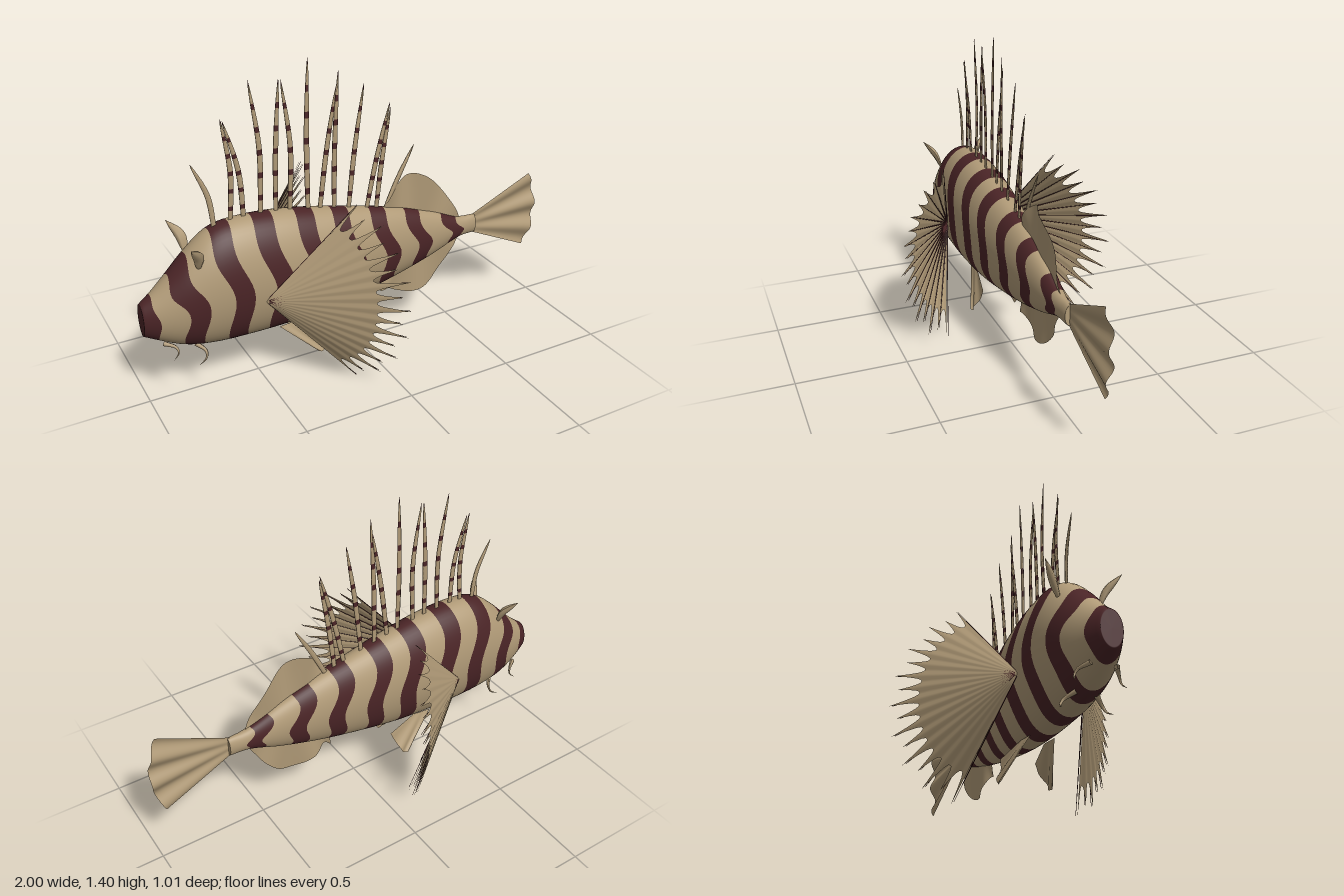
import * as THREE from 'three';
import { mergeVertices } from 'three/addons/utils/BufferGeometryUtils.js';

const V = (x, y, z = 0) => new THREE.Vector3(x, y, z);
const tan = new THREE.MeshStandardMaterial({ color: 0xb09a77, side: THREE.DoubleSide });
tan.name = 'sandy tan';
const maroon = new THREE.MeshStandardMaterial({ color: 0x4a2426, side: THREE.DoubleSide });
maroon.name = 'dark maroon';

// Surface of nu x nv cells; fn(i, j) gives each point
function grid(nu, nv, fn) {
  const pos = [], index = [];
  for (let i = 0; i <= nu; i++) for (let j = 0; j <= nv; j++) pos.push(...fn(i, j).toArray());
  for (let i = 0; i < nu; i++) for (let j = 0; j < nv; j++) {
    const a = i * (nv + 1) + j, b = a + nv + 1;
    index.push(a, a + 1, b, b, a + 1, b + 1);
  }
  let g = new THREE.BufferGeometry();
  g.setAttribute('position', new THREE.Float32BufferAttribute(pos, 3));
  g.setIndex(index);
  g = mergeVertices(g, 1e-5);
  g.computeVertexNormals();
  return g;
}

// Smooth interpolation through the body stations
const stations = [ // x, top, bottom, half width
  [-1, 0.48, 0.33, 0.045], [-0.94, 0.525, 0.298, 0.073], [-0.87, 0.59, 0.262, 0.1],
  [-0.8, 0.66, 0.237, 0.12], [-0.7, 0.742, 0.22, 0.138], [-0.6, 0.77, 0.214, 0.145],
  [-0.4, 0.766, 0.213, 0.145], [-0.2, 0.735, 0.226, 0.132], [0, 0.692, 0.257, 0.11],
  [0.2, 0.643, 0.298, 0.085], [0.4, 0.575, 0.355, 0.056], [0.55, 0.515, 0.41, 0.033],
  [0.64, 0.508, 0.415, 0.022],
];
function section(x, c) {
  const n = stations.length;
  let i = 0;
  while (i < n - 2 && x > stations[i + 1][0]) i++;
  const slope = k => {
    const a = stations[Math.max(k - 1, 0)], b = stations[Math.min(k + 1, n - 1)];
    return (b[c] - a[c]) / (b[0] - a[0]);
  };
  const p = stations[i], q = stations[i + 1], h = q[0] - p[0], t = (x - p[0]) / h;
  return p[c] * (1 + 2 * t) * (1 - t) ** 2 + slope(i) * h * t * (1 - t) ** 2
    + q[c] * t * t * (3 - 2 * t) + slope(i + 1) * h * t * t * (t - 1);
}

// Tapered curved spike with optional dark bands; flat squeezes it in z
function spike(points, radius, { flat = 1, banded = false, n = 24, k = 6 } = {}) {
  const curve = new THREE.CatmullRomCurve3(points);
  const g = new THREE.TubeGeometry(curve, n, 1, k, false);
  const p = g.attributes.position;
  for (let i = 0; i <= n; i++) {
    const c = curve.getPointAt(i / n), r = radius(i / n);
    for (let j = 0; j <= k; j++) {
      const id = i * (k + 1) + j;
      p.setXYZ(id, c.x + (p.getX(id) - c.x) * r, c.y + (p.getY(id) - c.y) * r, c.z + (p.getZ(id) - c.z) * r * flat);
    }
  }
  g.computeVertexNormals();
  for (let i = 0; i < n; i++) g.addGroup(i * k * 6, k * 6, banded && i % 4 === 3 ? 1 : 0);
  return new THREE.Mesh(g, [tan, maroon]);
}

function createBody() {
  // Rows follow the stripe edges, so every band is a clean run of cells
  const edges = [-1, -0.955, -0.875, -0.795, -0.69, -0.605, -0.505, -0.415, -0.31, -0.225,
    -0.135, -0.055, 0.055, 0.135, 0.24, 0.32, 0.445, 0.53, 0.64];
  const rows = [[-1, 0, 1], [-1, 0.93, 1]], sub = 4, nv = 56;
  for (let e = 0; e < edges.length - 1; e++)
    for (let s = 0; s < sub; s++)
      rows.push([edges[e] + (edges[e + 1] - edges[e]) * s / sub, 1, e % 2 ? 0 : 1]);
  rows.push([0.64, 1, 0], [0.64, 0.9, 0], [0.64, 0, 0]);
  const g = grid(rows.length - 1, nv, (i, j) => {
    const [u, k] = rows[i], a = (j % nv) / nv * Math.PI * 2, s = (1 - Math.cos(a)) / 2;
    const damp = Math.min(1, (u + 1) / 0.13, (0.64 - u) / 0.16);
    const x = u + damp * (0.06 * s - 0.021 * Math.sin(s * 9));
    const top = section(x, 1), bottom = section(x, 2);
    return V(x, (top + bottom) / 2 + k * (top - bottom) / 2 * Math.cos(a), k * section(x, 3) * Math.sin(a));
  });
  rows.slice(0, -1).forEach((r, i) => g.addGroup(i * nv * 6, nv * 6, r[2]));
  return new THREE.Mesh(g, [tan, maroon]);
}

// Rippled lobe between a straight base and a curved rim
function lobe(base, rim, waves) {
  const curve = new THREE.SplineCurve(rim.map(p => new THREE.Vector2(...p)));
  return new THREE.Mesh(grid(40, 6, (i, j) => {
    const t = i / 40, r = j / 6, o = curve.getPoint(t);
    const bx = base[0][0] + (base[1][0] - base[0][0]) * t, by = base[0][1] + (base[1][1] - base[0][1]) * t;
    return V(bx + (o.x - bx) * r, by + (o.y - by) * r, 0.014 * r * Math.sin(t * waves) * (1 - t * 0.5));
  }), tan);
}

// Fan fin with scalloped membrane and dark rays on its rear face
function createPectoral(side) {
  const fin = new THREE.Group(), rays = 17, cells = 8, nu = (rays - 1) * cells;
  const point = (t, r) => V(
    -0.505 + r * (0.5 - 0.13 * t * t),
    0.425 + r * 0.425 * Math.sin(t * 1.2) / Math.sin(1.2),
    side * (0.14 + r * (0.36 - 0.235 * t * t)));
  const membrane = new THREE.Mesh(grid(nu, 8, (i, j) => {
    const w = Math.abs((i % cells) / cells * 2 - 1);
    const odd = Math.round(i / cells) % 2;
    const r = j / 8 * (0.76 + (odd ? 0.18 : 0.24) * w ** 2.6);
    const p = point(i / nu * 2 - 1, r);
    p.z += side * 0.006 * w * r;
    return p;
  }), tan);
  membrane.name = 'pectoralMembrane';
  fin.add(membrane);
  for (let i = 0; i < rays; i++) {
    const t = i / (rays - 1) * 2 - 1, back = V(0.003, 0, -side * 0.001);
    const pts = [0.02, 0.5, i % 2 ? 0.92 : 0.98].map(r => point(t, r).add(back));
    const ray = spike(pts, s => 0.0035 * (1 - 0.7 * s), { n: 6, k: 4 });
    ray.material = maroon;
    ray.name = 'pectoralRay';
    fin.add(ray);
  }
  return fin;
}

export function createModel() {
  const model = new THREE.Group();
  const add = (mesh, name) => { mesh.name = name; model.add(mesh); };
  add(createBody(), 'body');

  // Dorsal spines: base x, base y, tip x, tip y
  const spines = [[-0.66, 0.74, -0.74, 1.04], [-0.59, 0.75, -0.607, 1.21], [-0.53, 0.75, -0.6, 1.2],
    [-0.455, 0.75, -0.48, 1.345], [-0.385, 0.75, -0.352, 1.335], [-0.32, 0.74, -0.345, 1.33],
    [-0.235, 0.72, -0.219, 1.4], [-0.18, 0.71, -0.092, 1.27], [-0.11, 0.7, -0.087, 1.33],
    [-0.04, 0.68, 0.04, 1.25], [0.05, 0.66, 0.165, 1.15], [0.1, 0.65, 0.165, 1.13], [0.14, 0.63, 0.295, 0.93]];
  spines.forEach(([x, y, tx, ty], i) => {
    const z = 0.006 * (i % 3 - 1), bow = tx < x ? 0.022 : -0.006;
    add(spike([V(x, y), V((x + tx) / 2 + bow, (y + ty) / 2, z / 2), V(tx, ty, z)],
      t => 0.017 * (0.6 + 1.1 * t) * (1 - t) ** 0.7 + 0.0005,
      { flat: 0.4, banded: i > 0 && i < 12 }), 'dorsalSpine');
  });

  // Soft median fins and tail
  add(lobe([[0.13, 0.63], [0.56, 0.48]], [[0.14, 0.66], [0.2, 0.745], [0.28, 0.79], [0.36, 0.765],
    [0.45, 0.68], [0.52, 0.58], [0.56, 0.5]], 16), 'softDorsalFin');
  add(lobe([[0.13, 0.32], [0.56, 0.44]], [[0.13, 0.225], [0.165, 0.235], [0.22, 0.2], [0.3, 0.18],
    [0.39, 0.2], [0.47, 0.28], [0.52, 0.36], [0.56, 0.43]], 16), 'analFin');
  add(new THREE.Mesh(grid(40, 8, (i, j) => {
    const t = i / 20 - 1, r = j / 8;
    return V(0.62 + r * (0.38 - 0.05 * t * t), 0.462 + t * (0.042 + 0.153 * r), 0.013 * r * Math.sin(t * 9));
  }), tan), 'tailFin');

  for (const side of [1, -1]) {
    add(createPectoral(side), side > 0 ? 'leftPectoralFin' : 'rightPectoralFin');

    // Pelvic fin, hanging down and outward
    const rim = new THREE.CatmullRomCurve3([V(-0.25, 0.078, 0.108), V(-0.22, 0.075, 0.112),
      V(-0.195, 0.12, 0.098), V(-0.16, 0.2, 0.07)]);
    add(new THREE.Mesh(grid(16, 5, (i, j) => {
      const t = i / 16, p = V(-0.41 + 0.1 * t, 0.222 + 0.01 * t, 0.05).lerp(rim.getPoint(t), j / 5);
      p.z = side * (p.z + 0.006 * Math.sin(t * 14) * j / 5);
      return p;
    }), tan), 'pelvicFin');

    // Brow tentacle and chin barbels
    const at = (x, y, z) => V(x, y, z * side);
    add(spike([at(-0.765, 0.63, 0.085), at(-0.772, 0.69, 0.11), at(-0.815, 0.75, 0.158)],
      t => 0.022 * Math.sin(Math.PI * (0.15 + 0.85 * t)) + 0.0005, { flat: 0.5 }), 'browTentacle');
    const thin = t => 0.011 * (1 - t) + 0.0005;
    add(spike([at(-0.93, 0.3, 0.05), at(-0.888, 0.285, 0.08), at(-0.882, 0.262, 0.09), at(-0.905, 0.238, 0.098)],
      thin), 'frontBarbel');
    add(spike([at(-0.79, 0.25, 0.04), at(-0.76, 0.225, 0.075), at(-0.765, 0.2, 0.09), at(-0.8, 0.18, 0.1)],
      thin), 'rearBarbel');
  }
  return model;
}
